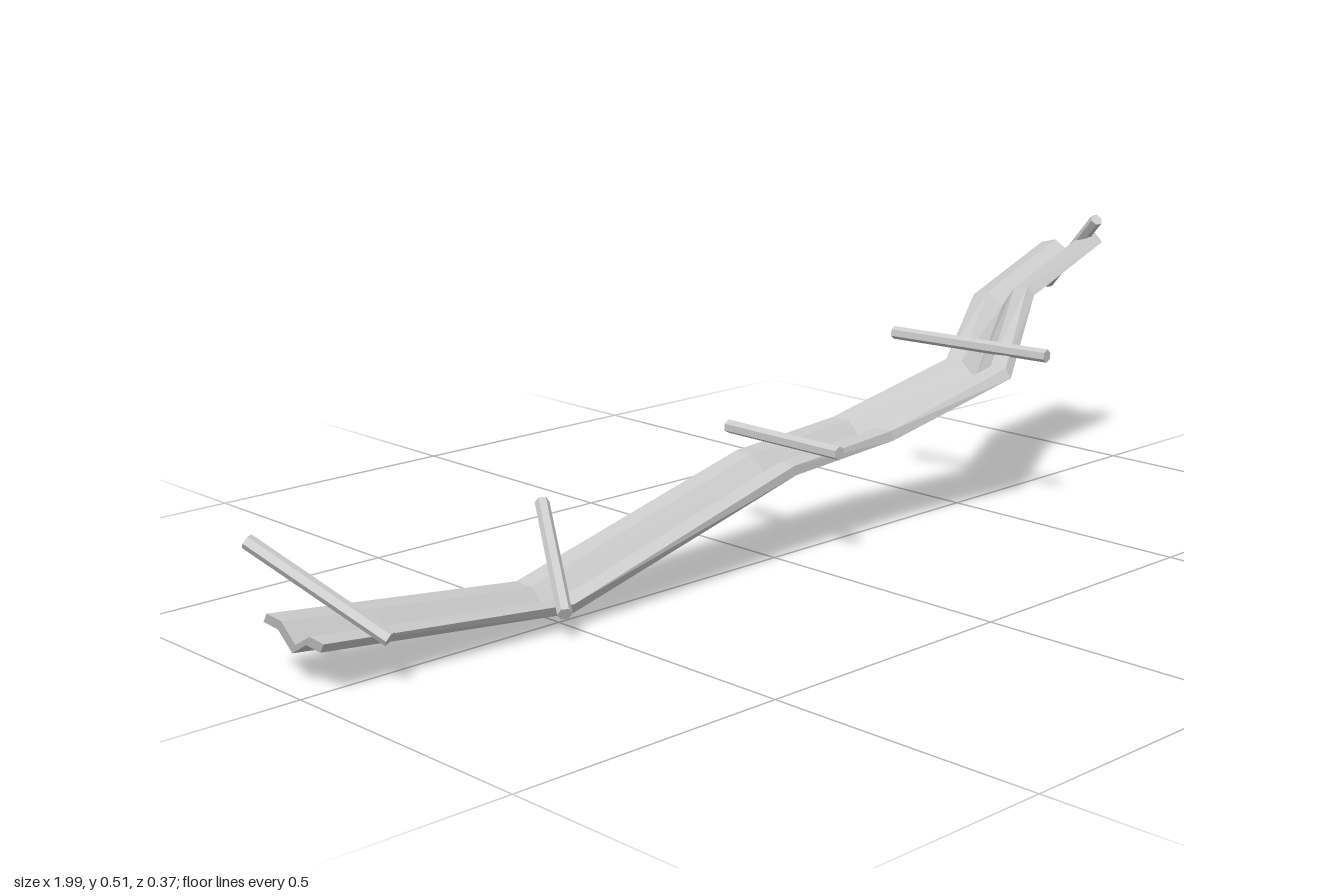
import * as THREE from 'three';

const material = new THREE.MeshStandardMaterial({ color: 0xcccccc, flatShading: true });

// Underside of the folded gutter section as [z, y], front lip to back lip
const PROFILE = [[0.08, 0.03], [0.044, 0.03], [0, 0], [-0.028, 0.031], [-0.066, 0.031]];
const THICKNESS = 0.018;

// Gutter path: x, y, z of the lowest fold, roll in degrees, sideways lean of the thickness
const STATIONS = [
  [-0.97, 0.05, -0.062, -5, 0.016],
  [-0.5, 0.0, -0.038, -2, 0.008],
  [0.0, 0.135, -0.02, 0, 0],
  [0.25, 0.153, -0.016, 0, -0.003],
  [0.5, 0.236, 0.052, 2, -0.01],
  [0.72, 0.33, -0.061, 15, -0.014],
  [0.965, 0.404, -0.084, 15, -0.016],
];

// Closed ring: underside front to back, then upper side back to front
function sectionRing([x, y, z, roll, lean]) {
  const a = THREE.MathUtils.degToRad(roll);
  const lower = PROFILE.map(([pz, py]) => {
    const h = pz * Math.sin(a) + py * Math.cos(a);
    const w = pz * Math.cos(a) - py * Math.sin(a);
    return new THREE.Vector3(x - 0.2 * h, y + h, z + w);
  });
  const offset = new THREE.Vector3(-0.004, THICKNESS, lean);
  const upper = lower.map((p) => p.clone().add(offset));
  return [...lower, ...upper.reverse()];
}

function gutterGeometry() {
  const rings = STATIONS.map(sectionRing);
  const n = rings[0].length;
  const positions = [];
  const quad = (a, b, c, d) => [a, b, c, a, c, d].forEach((p) => positions.push(p.x, p.y, p.z));
  for (let s = 0; s < rings.length - 1; s++) {
    for (let i = 0; i < n; i++) {
      const j = (i + 1) % n;
      quad(rings[s][i], rings[s][j], rings[s + 1][j], rings[s + 1][i]);
    }
  }
  // End caps
  const first = rings[0], last = rings[rings.length - 1];
  for (let k = 0; k < PROFILE.length - 1; k++) {
    quad(last[k], last[k + 1], last[n - 2 - k], last[n - 1 - k]);
    quad(first[n - 1 - k], first[n - 2 - k], first[k + 1], first[k]);
  }
  const geometry = new THREE.BufferGeometry();
  geometry.setAttribute('position', new THREE.Float32BufferAttribute(positions, 3));
  geometry.computeVertexNormals();
  return geometry;
}

// Six-sided rod between two points
function rod(from, to) {
  const a = new THREE.Vector3(...from), b = new THREE.Vector3(...to);
  const dir = b.clone().sub(a);
  const mesh = new THREE.Mesh(new THREE.CylinderGeometry(0.0125, 0.0125, dir.length(), 6), material);
  mesh.position.copy(a).add(b).multiplyScalar(0.5);
  mesh.quaternion.setFromUnitVectors(new THREE.Vector3(0, 1, 0), dir.normalize());
  return mesh;
}

export function createModel() {
  const group = new THREE.Group();
  group.name = 'gutterWithRods';

  const gutter = new THREE.Mesh(gutterGeometry(), material);
  gutter.name = 'gutter';
  group.add(gutter);

  // Rods lying across the gutter
  const rods = [
    [[-0.985, 0.212, -0.147], [-0.877, 0.08, 0.06]],
    [[-0.427, 0.165, -0.125], [-0.553, 0.046, 0.08]],
    [[0.035, 0.209, -0.152], [0.035, 0.209, 0.125]],
    [[0.495, 0.313, -0.163], [0.535, 0.313, 0.182]],
    [[0.916, 0.505, -0.001], [0.984, 0.346, -0.174]],
  ];
  rods.forEach(([from, to], i) => {
    const mesh = rod(from, to);
    mesh.name = `crossRod${i + 1}`;
    group.add(mesh);
  });
  return group;
}
